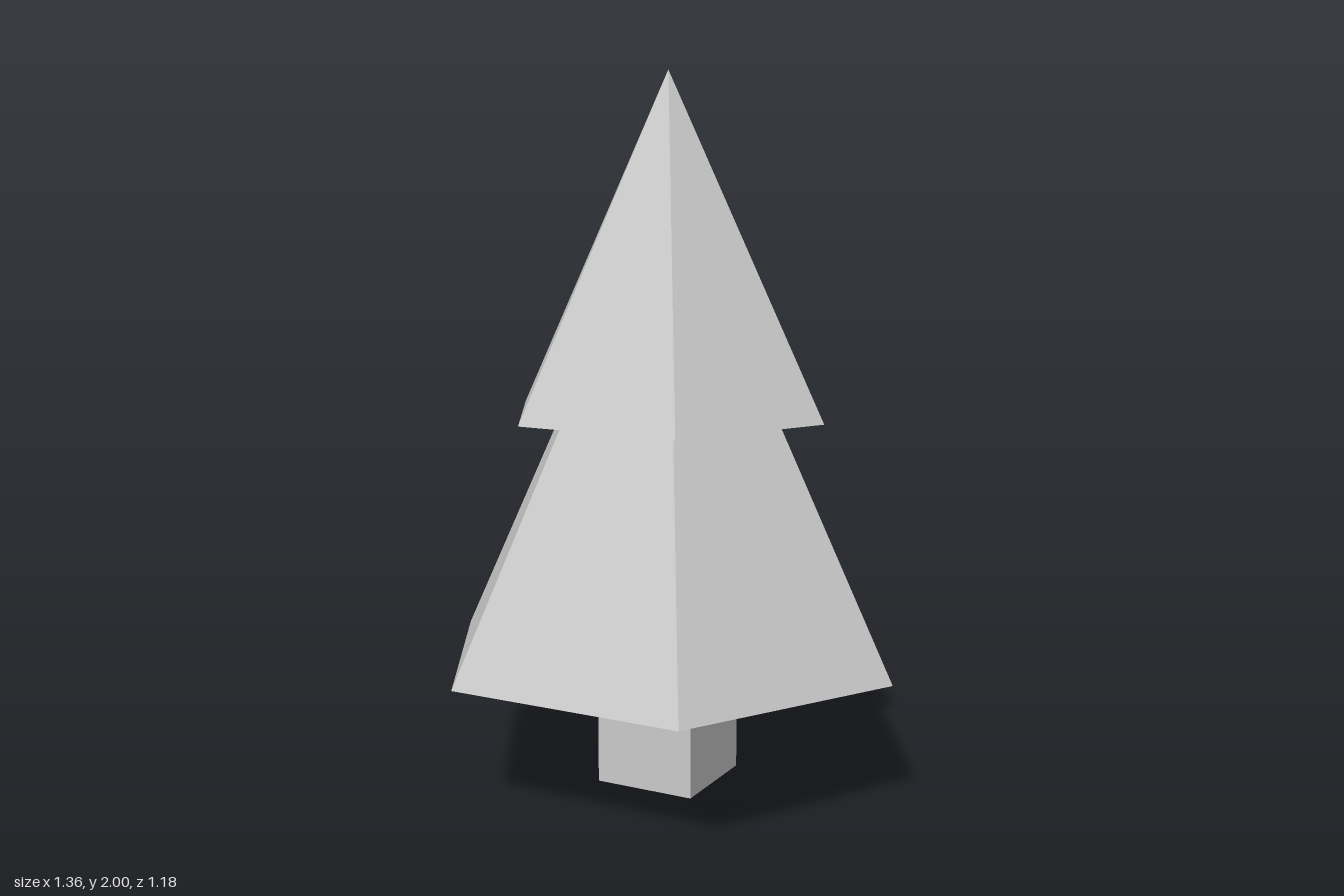
import * as THREE from 'three';

export function createModel() {
  const tree = new THREE.Group();
  tree.name = 'tree';
  const material = new THREE.MeshStandardMaterial({ color: 0xcccccc, flatShading: true });

  function addPart(name, geometry, bottom, height) {
    const mesh = new THREE.Mesh(geometry, material);
    mesh.name = name;
    mesh.position.y = bottom + height / 2;
    tree.add(mesh);
  }

  // Six-sided foliage tier with corners on the x axis
  function addTier(name, topRadius, bottomRadius, bottom, top) {
    const height = top - bottom;
    const geometry = new THREE.CylinderGeometry(topRadius, bottomRadius, height, 6, 1, false, Math.PI / 6);
    addPart(name, geometry, bottom, height);
  }

  // Square trunk
  addPart('trunk', new THREE.BoxGeometry(0.295, 0.365, 0.295), 0, 0.365);

  // Foliage: a truncated lower tier under a pointed upper tier
  addTier('lowerFoliage', 0.337, 0.682, 0.365, 1.06);
  addTier('upperFoliage', 0, 0.472, 1.06, 2);

  return tree;
}
